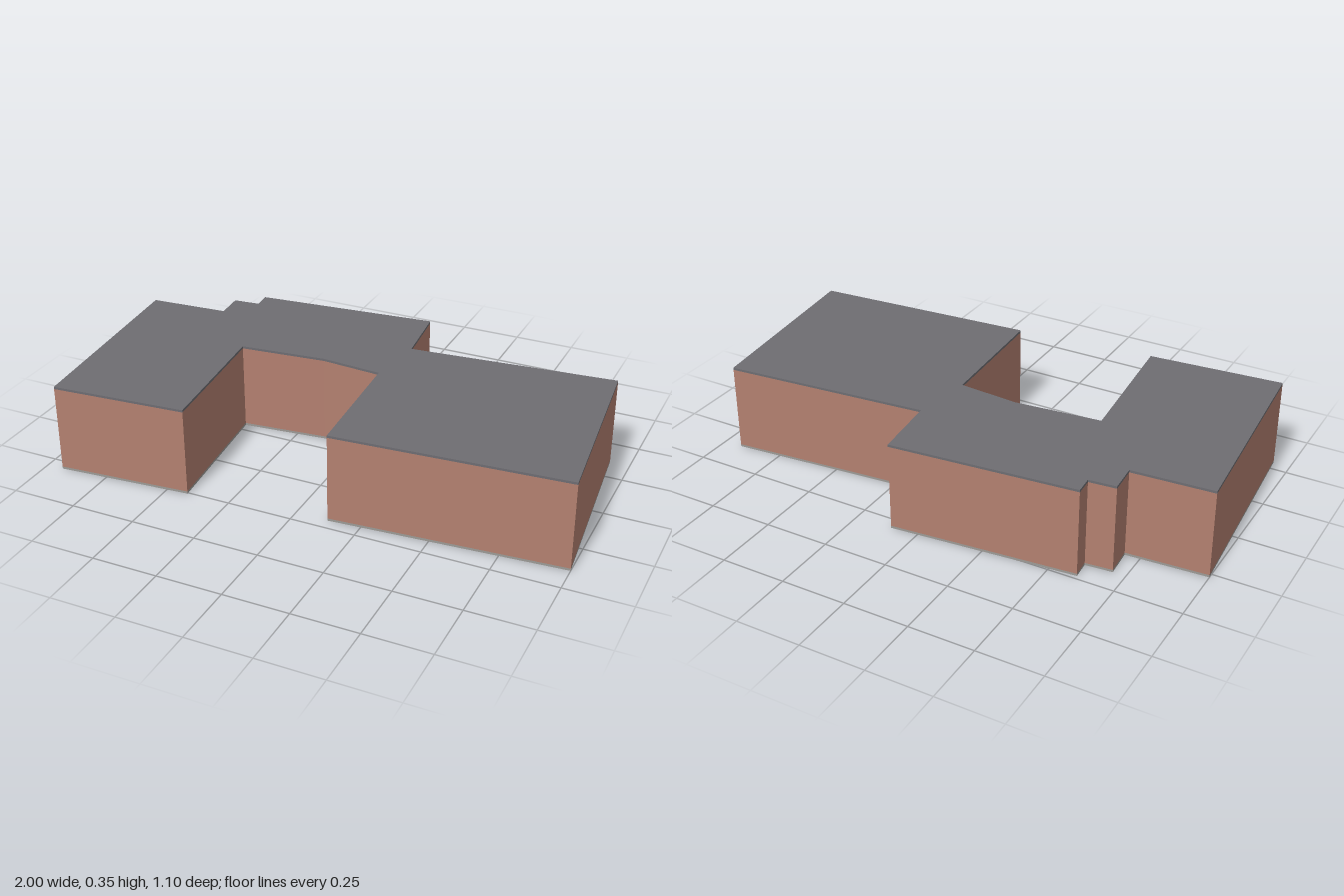
import * as THREE from 'three';

// Building outline on the ground, as [x, z]
const OUTLINE = [
  [-1, -0.27], [-0.693, -0.291], [-0.701, -0.404], [-0.599, -0.414], [-0.604, -0.484],
  [0.104, -0.55], [0.131, -0.289], [0.924, -0.361], [1, 0.393], [0.125, 0.455],
  [0.098, -0.051], [-0.136, -0.071], [-0.468, -0.038], [-0.417, 0.506], [-0.934, 0.547],
];

function makeMaterial(name, color) {
  const material = new THREE.MeshStandardMaterial({ color });
  material.name = name;
  return material;
}

// One horizontal layer of the building between two heights
function makeLayer(name, bottom, top, material) {
  const shape = new THREE.Shape(OUTLINE.map(([x, z]) => new THREE.Vector2(x, -z)));
  const geometry = new THREE.ExtrudeGeometry(shape, { depth: top - bottom, bevelEnabled: false });
  geometry.rotateX(-Math.PI / 2);
  const mesh = new THREE.Mesh(geometry, material);
  mesh.name = name;
  mesh.position.y = bottom;
  return mesh;
}

export function createModel() {
  const model = new THREE.Group();
  model.name = 'building';
  model.add(
    makeLayer('foundation', 0, 0.009, makeMaterial('pale stone', 0x9c9a96)),
    makeLayer('walls', 0.009, 0.338, makeMaterial('brick', 0xb38070)),
    makeLayer('roof', 0.338, 0.347, makeMaterial('slate grey', 0x6e6d72)),
  );
  return model;
}
